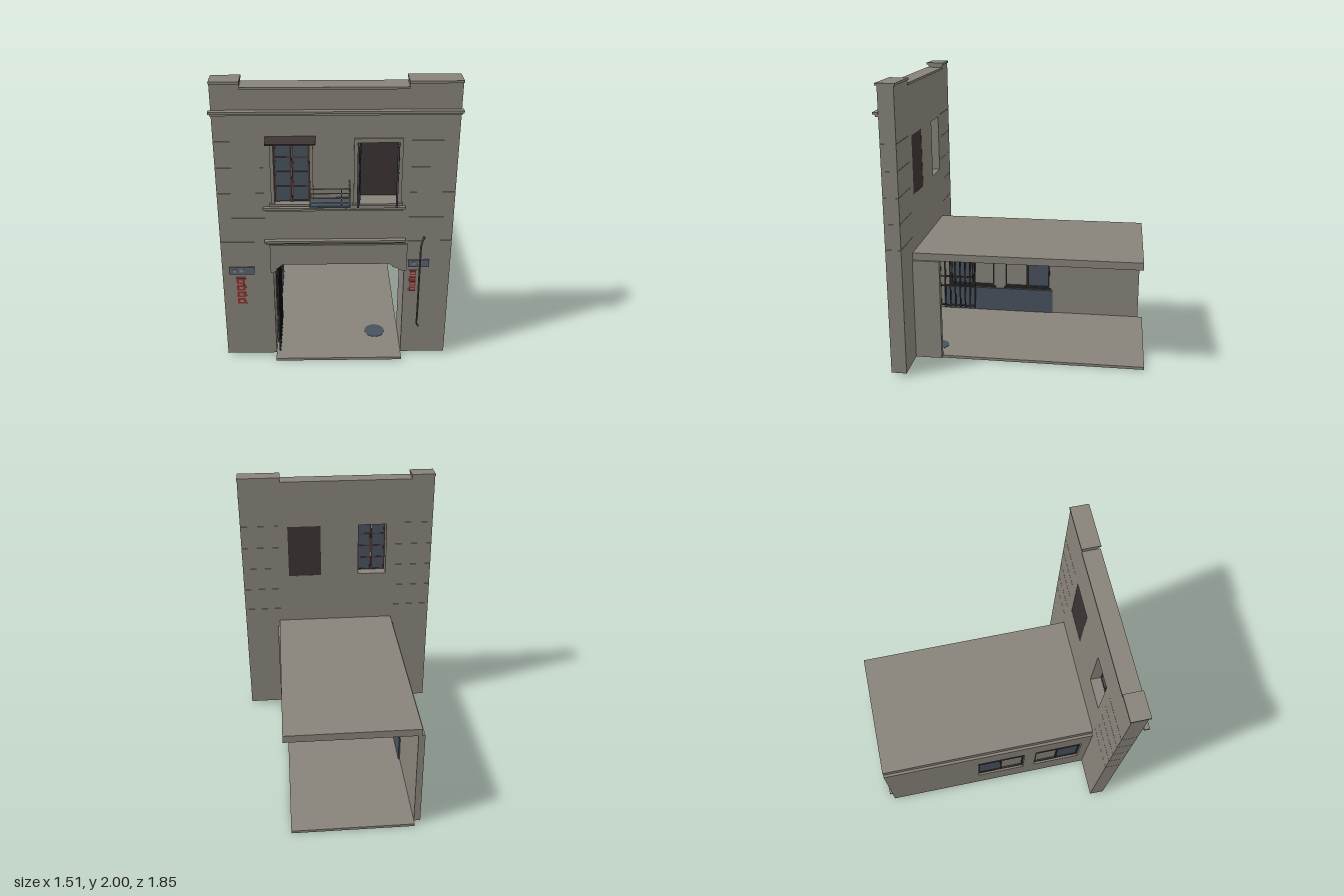
import * as THREE from 'three';

const paint = (name, color) => Object.assign(new THREE.MeshStandardMaterial({ color }), { name });

export function createModel() {
  const root = new THREE.Group();
  root.name = 'shopFacade';
  const plaster = paint('plaster', 0x88837a);
  const slate = paint('slateBlue', 0x48525d);
  const signBlue = paint('signBlue', 0x566472);
  const brown = paint('darkBrown', 0x3c3433);
  const frame = paint('frameBrown', 0x4d3836);
  const metal = paint('darkMetal', 0x383433);
  const pipeGrey = paint('pipeGrey', 0x544f4b);
  const red = paint('signRed', 0x96302f);

  const add = (name, geo, mat, parent = root) => {
    const m = new THREE.Mesh(geo, mat);
    m.name = name;
    parent.add(m);
    return m;
  };
  // box from its minimum and maximum corners
  const box = (name, mat, x0, x1, y0, y1, z0, z1, parent) => {
    const m = add(name, new THREE.BoxGeometry(x1 - x0, y1 - y0, z1 - z0), mat, parent);
    m.position.set((x0 + x1) / 2, (y0 + y1) / 2, (z0 + z1) / 2);
    return m;
  };
  const rod = (name, mat, a, b, r, parent) => {
    const p = new THREE.Vector3(...a), q = new THREE.Vector3(...b);
    const m = add(name, new THREE.CylinderGeometry(r, r, p.distanceTo(q), 6), mat, parent);
    m.position.copy(p).lerp(q, 0.5);
    m.quaternion.setFromUnitVectors(new THREE.Vector3(0, 1, 0), q.sub(p).normalize());
  };
  const group = (name) => {
    const g = new THREE.Group();
    g.name = name;
    root.add(g);
    return g;
  };
  const outline = (pts) => new THREE.Shape(pts.map(([x, y]) => new THREE.Vector2(x, y)));
  const rectHole = (x0, x1, y0, y1) =>
    new THREE.Path([[x0, y0], [x0, y1], [x1, y1], [x1, y0]].map(([x, y]) => new THREE.Vector2(x, y)));
  const extrude = (shape, depth) => new THREE.ExtrudeGeometry(shape, { depth, bevelEnabled: false });

  // central facade with stepped doorway and two window openings
  const arch = [[-0.41, 0.68], [-0.4, 0.69], [-0.39, 0.7], [-0.385, 0.715], [-0.37, 0.725], [-0.36, 0.735],
    [-0.345, 0.745], [0.335, 0.745], [0.36, 0.735], [0.37, 0.72], [0.4, 0.71], [0.41, 0.695], [0.445, 0.69]];
  const windows = [{ x0: -0.385, x1: -0.165 }, { x0: 0.13, x1: 0.385 }];
  const wall = outline([[-0.45, 0.02], [-0.41, 0.02], ...arch, [0.445, 0.02], [0.46, 0.02], [0.46, 1.95], [-0.45, 1.95]]);
  windows.forEach((w) => wall.holes.push(rectHole(w.x0, w.x1, 1.195, 1.608)));
  add('facadeCentre', extrude(wall, 0.107), plaster).position.z = 0.693;

  // side wings in courses, with hairline grooves between
  const joints = [0.02, 0.914, 1.09, 1.267, 1.443, 1.62, 1.95];
  for (const [x0, x1] of [[-0.745, -0.45], [0.46, 0.745]]) {
    const wing = group('facadeWing');
    const edge = x0 < 0 ? [x0 + 0.004, x1] : [x0, x1 - 0.004];
    box('wingCore', plaster, ...edge, 0.03, 1.94, 0.697, 0.796, wing);
    for (let i = 0; i < joints.length - 1; i++) {
      const top = joints[i + 1] - (i < joints.length - 2 ? 0.003 : 0);
      box('wingCourse', plaster, x0, x1, joints[i], top, 0.693, 0.8, wing);
    }
  }

  // parapet, pillars and cornices
  box('parapetCoping', plaster, -0.57, 0.43, 1.95, 1.965, 0.69, 0.815);
  for (const [x0, x1] of [[-0.745, -0.57], [0.43, 0.745]]) {
    box('parapetPillar', plaster, x0, x1, 1.95, 1.985, 0.693, 0.8);
    box('pillarCap', plaster, x0 - 0.002, x1 + 0.002, 1.985, 2, 0.685, 0.815);
  }
  box('upperCornice', plaster, -0.76, 0.755, 1.805, 1.82, 0.8, 0.835);
  box('upperCorniceLower', plaster, -0.75, 0.748, 1.79, 1.805, 0.8, 0.82);
  box('windowLedge', plaster, -0.46, 0.435, 1.157, 1.17, 0.8, 0.826);
  box('windowLedgeLower', plaster, -0.445, 0.42, 1.143, 1.157, 0.8, 0.815);
  box('doorCornice', plaster, -0.46, 0.445, 0.918, 0.932, 0.8, 0.83);
  box('doorCorniceLower', plaster, -0.45, 0.435, 0.905, 0.918, 0.8, 0.818);
  const lintel = outline([[-0.428, 0.68], ...arch, [0.46, 0.69], [0.46, 0.89], [-0.428, 0.89]]);
  add('doorLintel', extrude(lintel, 0.01), plaster).position.z = 0.8;

  // window surrounds and sills
  windows.forEach(({ x0, x1 }) => {
    const trim = outline([[x0 - 0.022, 1.19], [x1 + 0.022, 1.19], [x1 + 0.022, 1.635], [x0 - 0.022, 1.635]]);
    trim.holes.push(rectHole(x0, x1, 1.195, 1.608));
    add('windowSurround', extrude(trim, 0.01), plaster).position.z = 0.8;
    box('windowSill', plaster, x0 - 0.032, x1 + 0.032, 1.18, 1.195, 0.8, 0.82);
  });

  // glazed leaf centred on its own origin
  const leaf = (name, mat, width) => {
    const g = group(name), h = 0.205, w = width / 2, t = 0.006;
    box('leafGlass', slate, -w, w, -h, h, -0.002, 0.002, g);
    for (const s of [-1, 1]) box('leafStile', mat, s * (w - 0.005) - 0.005, s * (w - 0.005) + 0.005, -h, h, -t, t, g);
    for (let i = 0; i <= 4; i++) {
      const y = -h + 0.005 + i * 0.1;
      box('leafBar', mat, -w + 0.01, w - 0.01, y - 0.004, y + 0.004, -t, t, g);
    }
    return g;
  };
  for (const x of [-0.33, -0.22]) leaf('closedWindowLeaf', frame, 0.108).position.set(x, 1.402, 0.775);
  for (const x of [0.14, 0.38]) {
    const g = leaf('openWindowLeaf', metal, 0.125);
    g.position.set(x, 1.402, 0.815);
    g.rotation.y = Math.PI / 2 - 0.13;
  }
  box('darkWindowPanel', brown, 0.13, 0.385, 1.195, 1.608, 0.695, 0.703);

  // awning
  const awning = box('awning', brown, -0.43, -0.127, 1.634, 1.642, 0.796, 0.884);
  awning.rotation.x = 0.2;

  // balcony
  const balcony = group('balcony');
  box('balconyFloor', slate, -0.165, 0.085, 1.222, 1.236, 0.805, 0.92, balcony);
  for (const y of [1.257, 1.289, 1.321, 1.352]) {
    box('balconyFrontRail', plaster, -0.165, 0.085, y - 0.003, y + 0.003, 0.914, 0.92, balcony);
    for (const x of [-0.162, 0.082])
      box('balconySideRail', plaster, x - 0.003, x + 0.003, y - 0.003, y + 0.003, 0.805, 0.914, balcony);
  }
  for (const x of [-0.162, 0.03, 0.082])
    box('balconyPost', plaster, x - 0.003, x + 0.003, 1.236, 1.355, 0.914, 0.92, balcony);
  for (const x of [-0.14, 0.06]) rod('balconyStrut', metal, [x, 1.222, 0.91], [x, 1.16, 0.81], 0.003, balcony);

  // floor, roof slab and short return wall
  box('floorSlab', plaster, -0.41, 0.445, 0.001, 0.02, -0.925, 0.865);
  box('roofSlab', plaster, -0.436, 0.475, 0.75, 0.802, -0.89, 0.693);
  box('returnWall', plaster, 0.445, 0.49, 0.02, 0.75, 0.505, 0.693);
  add('drainCover', new THREE.CylinderGeometry(0.07, 0.07, 0.022, 24), slate).position.set(0.28, 0.011, 0.57);

  // side wall with two windows, drawn along -z
  const bays = [-0.18, 0.27];
  const side = outline([[-0.693, 0.02], [0.89, 0.02], [0.89, 0.75], [-0.693, 0.75]]);
  bays.forEach((z) => side.holes.push(rectHole(-z - 0.36, -z, 0.23, 0.575)));
  add('sideWall', extrude(side, 0.045).rotateY(Math.PI / 2), plaster).position.x = -0.455;
  bays.forEach((z, i) => {
    const g = group('sideWindow'), z1 = z + 0.36, mid = z + 0.18;
    for (const c of [z + 0.006, mid, z1 - 0.006]) box('sideWindowPost', metal, -0.44, -0.405, 0.23, 0.575, c - 0.006, c + 0.006, g);
    for (const y of [0.236, 0.49, 0.569]) box('sideWindowRail', metal, -0.44, -0.405, y - 0.006, y + 0.006, z, z1, g);
    const start = i ? mid : z;
    box('sideWindowGlass', slate, -0.432, -0.418, 0.24, 0.485, start, start + 0.18, g);
    box('sideWindowPane', plaster, -0.428, -0.422, 0.23, 0.575, z, z1, g);
    box('sideWindowSill', metal, -0.41, -0.398, 0.217, 0.228, z - 0.01, z1 + 0.01, g);
  });
  box('wainscot', slate, -0.41, -0.4, 0.02, 0.21, -0.205, 0.69);

  // folded gate standing just inside the doorway
  const gate = group('foldingGate');
  for (let i = 0; i <= 9; i++) {
    const z = 0.428 + i * 0.041;
    box('gateBar', metal, -0.39, -0.38, 0.035, 0.63, z - 0.005, z + 0.005, gate);
  }
  for (const y of [0.05, 0.22, 0.3, 0.49, 0.57, 0.62])
    box('gateRail', metal, -0.388, -0.382, y - 0.005, y + 0.005, 0.425, 0.8, gate);

  // wall signs: a blue board with pale plates above a strip of red panels
  const sign = ([bx0, bx1, by0, by1], [px0, px1], [rx0, rx1, ry0, ry1]) => {
    const g = group('wallSign');
    box('signBoard', signBlue, bx0, bx1, by0, by1, 0.8, 0.808, g);
    const half = (px1 - px0) / 2;
    for (const x of [px0, px0 + half])
      box('signPlate', plaster, x + 0.007, x + half - 0.007, by0 + 0.016, by1 - 0.016, 0.808, 0.81, g);
    box('signStrip', plaster, rx0, rx1, ry0, ry1, 0.8, 0.806, g);
    const step = (ry1 - ry0) / 4, mid = (rx0 + rx1) / 2;
    for (let i = 0; i < 4; i++) {
      const y = ry0 + i * step;
      box('signPanel', red, rx0 + 0.005, rx1 - 0.005, y + 0.004, y + step - 0.004, 0.806, 0.809, g);
      box('signPanelInset', plaster, mid - 0.012, mid + 0.012, y + step * 0.36, y + step * 0.64, 0.809, 0.811, g);
    }
  };
  sign([-0.7, -0.535, 0.67, 0.725], [-0.68, -0.6], [-0.66, -0.595, 0.435, 0.645]);
  sign([0.47, 0.607, 0.715, 0.77], [0.487, 0.565], [0.48, 0.53, 0.525, 0.69]);

  // drainpipe
  const pipe = new THREE.CatmullRomCurve3([[0.565, 0.95, 0.815], [0.556, 0.93, 0.825], [0.545, 0.895, 0.836],
    [0.543, 0.8, 0.838], [0.543, 0.35, 0.838], [0.543, 0.28, 0.838], [0.557, 0.262, 0.838]]
    .map((p) => new THREE.Vector3(...p)));
  add('drainpipe', new THREE.TubeGeometry(pipe, 40, 0.006, 8), pipeGrey);

  return root;
}
